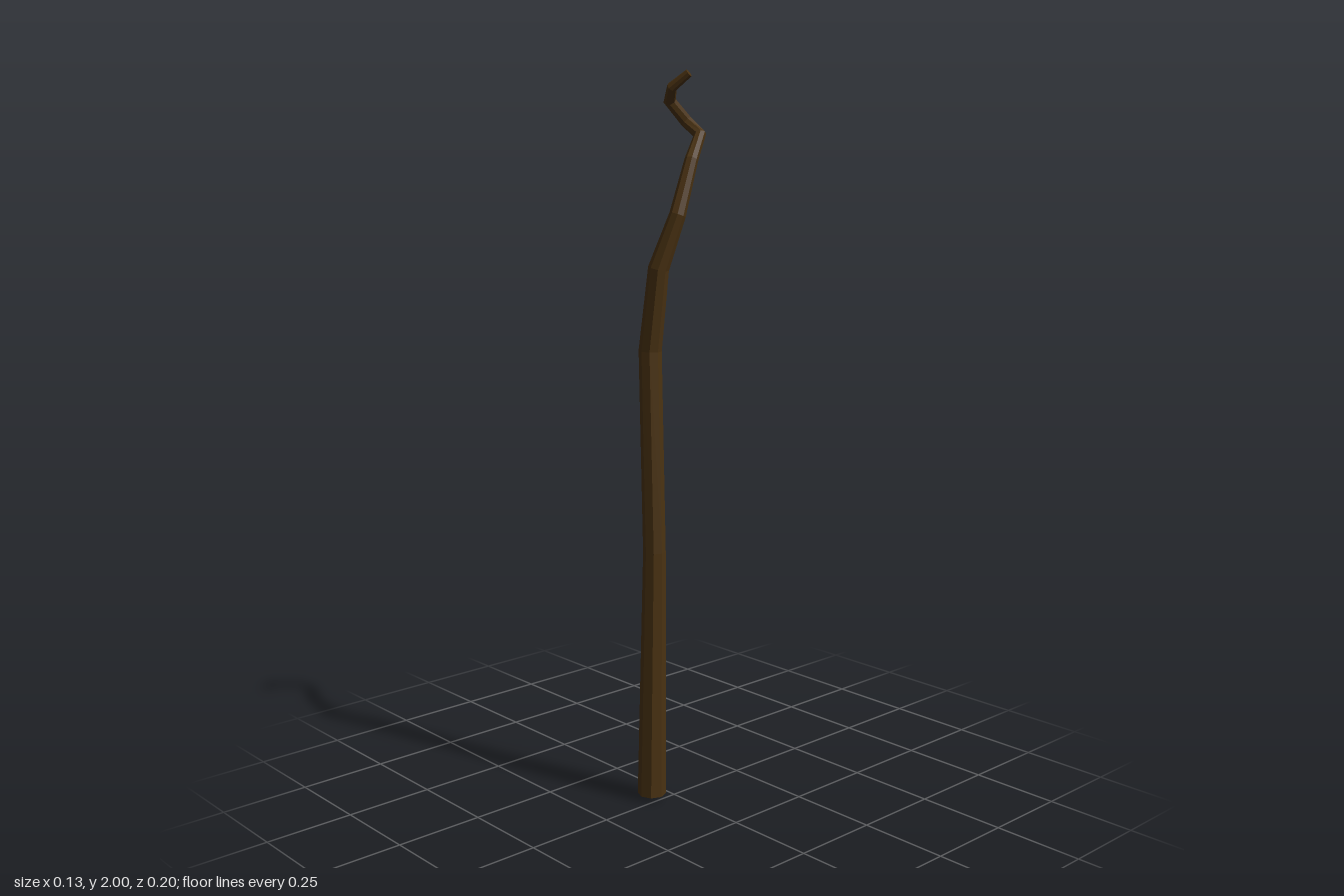
import * as THREE from 'three';

const SIDES = 8;

// Centreline of the staff: x, y, z, radius
const PATH = [
  [-0.027, 0.014, 0.06, 0.04],
  [-0.014, 0.72, 0.06, 0.031],
  [-0.029, 1.27, 0.06, 0.031],
  [0.005, 1.49, 0.06, 0.028],
  [0.044, 1.63, 0.028, 0.022],
  [0.037, 1.77, -0.027, 0.018],
  [0.013, 1.835, -0.08, 0.017],
  [-0.033, 1.87, -0.073, 0.017],
  [-0.045, 1.922, -0.025, 0.017],
  [-0.004, 1.955, 0.004, 0.014],
  [0.036, 1.99, -0.019, 0.011],
];

// Tapered tube: rings mitred at every bend and carried along without twist
function taperedTube(path) {
  const pts = path.map(([x, y, z]) => new THREE.Vector3(x, y, z));
  const last = pts.length - 1;
  const dir = (i) => pts[i + 1].clone().sub(pts[i]).normalize();
  const u = new THREE.Vector3(1, 0, 0);
  const pos = [];
  const index = [];
  const prev = new THREE.Vector3(0, 1, 0);

  pts.forEach((p, i) => {
    const t = i === 0 ? new THREE.Vector3(0, 1, 0)
      : i === last ? dir(last - 1)
      : dir(i - 1).add(dir(i)).normalize();
    u.applyQuaternion(new THREE.Quaternion().setFromUnitVectors(prev, t));
    prev.copy(t);
    const v = new THREE.Vector3().crossVectors(t, u);
    for (let k = 0; k < SIDES; k++) {
      const a = (k / SIDES) * Math.PI * 2;
      const q = p.clone()
        .addScaledVector(u, Math.cos(a) * path[i][3])
        .addScaledVector(v, Math.sin(a) * path[i][3]);
      pos.push(q.x, q.y, q.z);
    }
  });

  // Shallow foot and flat tip
  const foot = pos.length / 3;
  pos.push(pts[0].x, 0, pts[0].z);
  pos.push(...pts[last].toArray());

  for (let k = 0; k < SIDES; k++) {
    const n = (k + 1) % SIDES;
    for (let i = 0; i < last; i++) {
      const a = i * SIDES + k, b = i * SIDES + n;
      index.push(a, a + SIDES, b, b, a + SIDES, b + SIDES);
    }
    index.push(foot, k, n);
    index.push(foot + 1, last * SIDES + n, last * SIDES + k);
  }

  const g = new THREE.BufferGeometry();
  g.setAttribute('position', new THREE.Float32BufferAttribute(pos, 3));
  g.setIndex(index);
  // Viewed along the axis u to v runs clockwise, so turn every face outward
  for (let i = 0; i < index.length; i += 3) g.index.setX(i, index[i]);
  const flat = g.toNonIndexed();
  flat.computeVertexNormals();
  return flat;
}

export function createModel() {
  const darkWood = new THREE.MeshStandardMaterial({ color: 0x4a3212, flatShading: true, side: THREE.DoubleSide });
  darkWood.name = 'darkWood';
  const group = new THREE.Group();
  group.name = 'woodenStaff';
  const shaft = new THREE.Mesh(taperedTube(PATH), darkWood);
  shaft.name = 'twistedShaft';
  group.add(shaft);
  return group;
}
